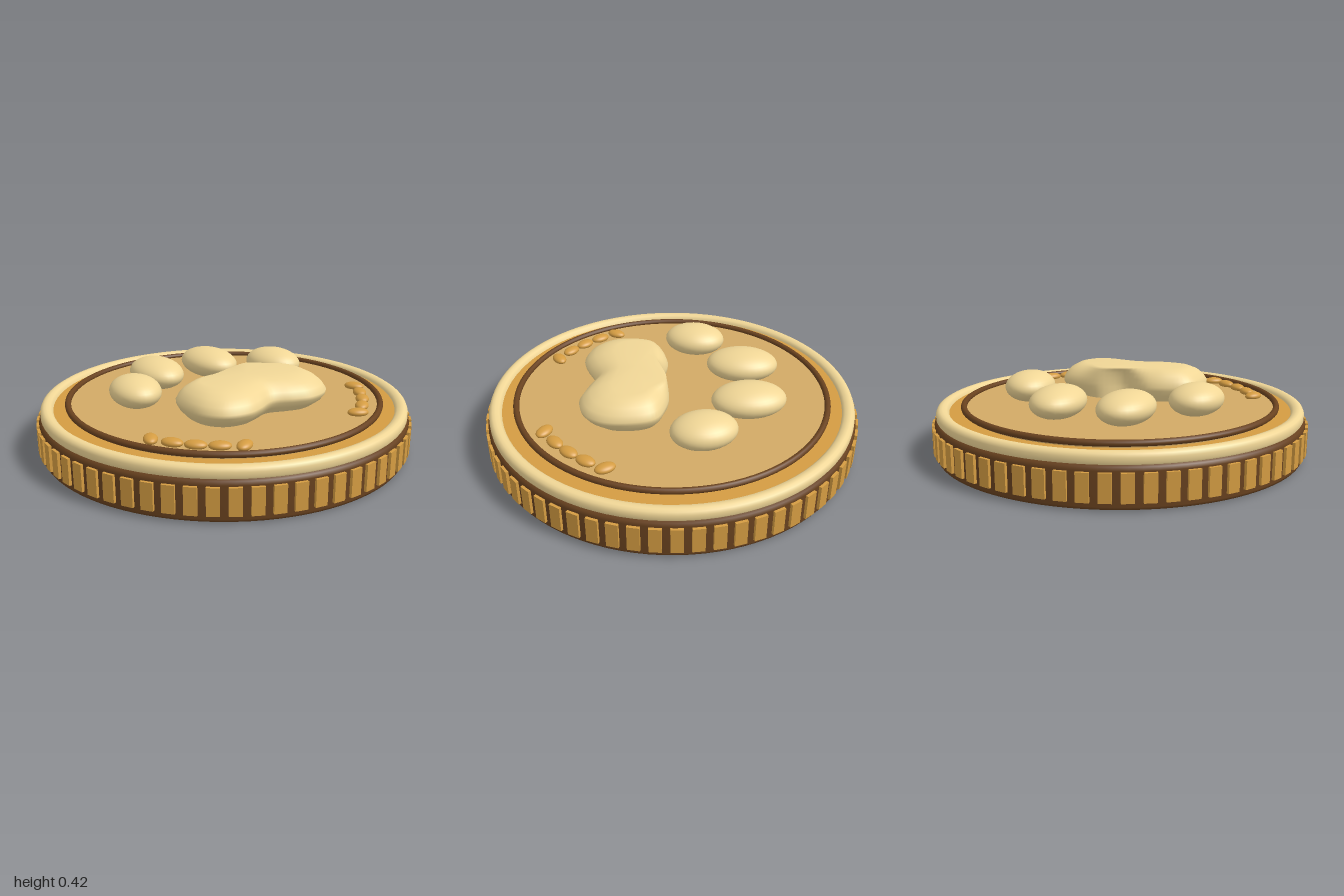
import * as THREE from 'three';

const mat = (color) => new THREE.MeshStandardMaterial({ color });
const brown = mat(0x69421f), gold = mat(0xd49c42), cream = mat(0xf0d696), tan = mat(0xd2aa66);

function add(parent, name, geometry, material, x = 0, y = 0, z = 0) {
  const mesh = new THREE.Mesh(geometry, material);
  mesh.name = name;
  mesh.position.set(x, y, z);
  parent.add(mesh);
  return mesh;
}

const lathe = (pts) => new THREE.LatheGeometry(pts.map(([r, y]) => new THREE.Vector2(r, y)), 96);

// Flattened ellipsoid turned about the vertical axis
function pebble(parent, name, material, [x, y, z], [rx, ry, rz], turn) {
  const mesh = add(parent, name, new THREE.SphereGeometry(1, 32, 20), material, x, y, z);
  mesh.scale.set(rx, ry, rz);
  mesh.rotation.y = turn;
}

// Main pad: a two-lobed outline lofted inward to a smaller, uneven crest
function padGeometry() {
  const outerHalf = [[0, 0.41], [0.11, 0.455], [0.2, 0.48], [0.32, 0.45], [0.39, 0.36],
    [0.405, 0.22], [0.37, 0.09], [0.26, 0.035], [0.14, 0.02], [0, 0.08]];
  const crestHalf = [[0, 0.28], [0.09, 0.295], [0.16, 0.31], [0.23, 0.3], [0.27, 0.26],
    [0.28, 0.2], [0.26, 0.15], [0.21, 0.11], [0.13, 0.035], [0, 0.06]];
  const close = (half) => [...half, ...half.slice(1, -1).reverse().map(([x, z]) => [-x, z])];
  const outer = close(outerHalf), crest = close(crestHalf);
  crest[10] = [-0.13, 0.1]; // the crest is cut back on one side
  const N = 96, pos = [], index = [];
  const sample = (pts) => {
    const curve = new THREE.CatmullRomCurve3(pts.map(([x, z]) => new THREE.Vector3(x, 0, z)), true);
    return Array.from({ length: N }, (_, i) => curve.getPoint(i / N));
  };
  const a = sample(outer), b = sample(crest);
  // [inset towards the crest, height]
  const rings = [[0.45, 0.245], [0.15, 0.285], [0.02, 0.315], [0, 0.335], [0.13, 0.365],
    [0.35, 0.392], [0.65, 0.412], [1, 0.424]];
  for (const [t, y] of rings) {
    for (let i = 0; i < N; i++) {
      const p = a[i].clone().lerp(b[i], t);
      pos.push(p.x, y, p.z);
    }
  }
  for (let r = 0; r < rings.length - 1; r++) {
    for (let i = 0; i < N; i++) {
      const j = (i + 1) % N, p = r * N + i, q = r * N + j;
      index.push(p, q, q + N, p, q + N, p + N);
    }
  }
  const last = (rings.length - 1) * N, centre = pos.length / 3;
  pos.push(0, 0.424, 0.19);
  for (let i = 0; i < N; i++) index.push(last + i, last + (i + 1) % N, centre);
  const g = new THREE.BufferGeometry();
  g.setAttribute('position', new THREE.Float32BufferAttribute(pos, 3));
  g.setIndex(index);
  g.computeVertexNormals();
  return g;
}

export function createModel() {
  const model = new THREE.Group();
  model.name = 'pawCoin';

  // Coin body with softened edges
  add(model, 'coinBody', lathe([[0.96, 0], [0.978, 0.006], [0.985, 0.02], [0.985, 0.18],
    [0.98, 0.197], [0.965, 0.208], [0.9, 0.208]]), brown);
  const base = add(model, 'coinBottom', new THREE.CircleGeometry(0.961, 96), brown);
  base.rotation.x = Math.PI / 2;

  // Raised rim
  add(model, 'rim', lathe([[0.968, 0.2], [0.975, 0.212], [0.975, 0.236], [0.968, 0.251],
    [0.955, 0.259], [0.94, 0.26], [0.922, 0.255], [0.91, 0.243], [0.905, 0.22]]), cream);

  // Face: gold band, dark ring and central field
  add(model, 'goldBand', new THREE.RingGeometry(0.8, 0.92, 96), gold, 0, 0.235).rotation.x = -Math.PI / 2;
  add(model, 'darkRing', new THREE.TorusGeometry(0.832, 0.016, 12, 96), brown, 0, 0.258).rotation.x = Math.PI / 2;
  add(model, 'field', new THREE.CylinderGeometry(0.825, 0.825, 0.05, 96), tan, 0, 0.227);

  // Reeded edge
  const reeds = new THREE.Group();
  reeds.name = 'edgeReeds';
  model.add(reeds);
  const reedGeometry = new THREE.BoxGeometry(0.06, 0.135, 0.04);
  for (let i = 0; i < 64; i++) {
    const angle = (i / 64) * Math.PI * 2;
    const reed = add(reeds, 'reed', reedGeometry, gold,
      Math.sin(angle) * 0.979, 0.108, Math.cos(angle) * 0.979);
    reed.rotation.y = angle;
  }

  // Paw print
  const paw = new THREE.Group();
  paw.name = 'paw';
  model.add(paw);
  add(paw, 'mainPad', padGeometry(), cream);
  for (const s of [-1, 1]) {
    pebble(paw, 'innerToe', cream, [s * 0.182, 0.322, -0.395], [0.138, 0.083, 0.196], s * 0.07);
    pebble(paw, 'outerToe', cream, [s * 0.466, 0.332, -0.145], [0.132, 0.082, 0.17], s * 0.2);
  }

  // Curved rows of small beads on either side
  const turns = [0.5, -0.6, -0.75, -0.9, 1.05];
  for (const s of [-1, 1]) {
    turns.forEach((turn, i) => {
      const angle = THREE.MathUtils.degToRad(26.2 + 8.6 * i);
      pebble(model, 'bead', gold, [s * Math.cos(angle) * 0.741, 0.263, Math.sin(angle) * 0.741],
        [0.035, 0.022, 0.054], s * turn);
    });
  }
  return model;
}
